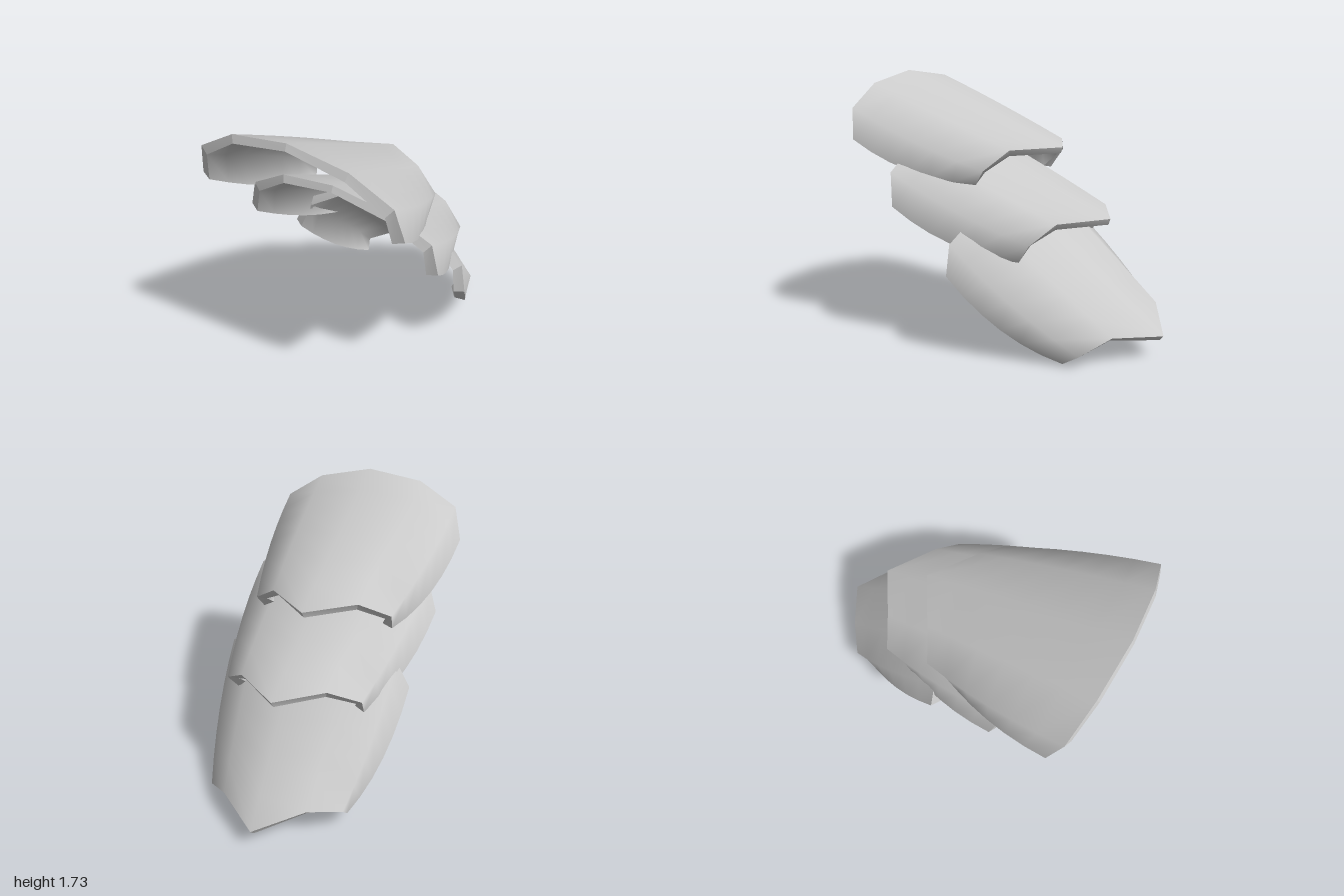
import * as THREE from 'three';
import { mergeGeometries } from 'three/addons/utils/BufferGeometryUtils.js';

const ROWS = 6;
// wall thickness across the arch, front edge to back edge
const THICK = [0.07, 0.065, 0.05, 0.042, 0.05, 0.065, 0.07];
// how far each line bows (y, z) halfway between the two ends
const BOW = [[-0.055, 0.03], [-0.01, 0.035], [0, 0.01], [0, 0], [0.005, -0.01], [0.01, -0.03], [-0.055, -0.035]];

// Each plate: arch at the inner end and arch at the outer end, from front to back
const PLATES = [
  {
    name: 'upperPlate',
    inner: [[-0.66, 1.28, 0.75], [-0.71, 1.48, 0.72], [-0.8, 1.64, 0.5], [-0.9, 1.73, 0.16], [-0.97, 1.7, -0.2], [-1, 1.57, -0.46], [-0.96, 1.37, -0.54]],
    outer: [[0.06, 1.02, 0.31], [0.13, 1.11, 0.31], [0.17, 1.23, 0.13], [0.3, 1.24, -0.2], [0.06, 1.27, -0.43], [-0.08, 1.18, -0.58], [-0.16, 1.05, -0.54]],
  },
  {
    name: 'middlePlate',
    inner: [[-0.3, 0.88, 0.69], [-0.34, 1.09, 0.67], [-0.43, 1.24, 0.45], [-0.54, 1.34, 0.1], [-0.61, 1.32, -0.25], [-0.63, 1.19, -0.51], [-0.6, 1, -0.6]],
    outer: [[0.4, 0.585, 0.255], [0.49, 0.7, 0.255], [0.54, 0.815, 0.08], [0.66, 0.825, -0.26], [0.42, 0.86, -0.48], [0.28, 0.78, -0.635], [0.2, 0.65, -0.6]],
  },
  {
    name: 'lowerPlate',
    inner: [[0.12, 0.5, 0.585], [0.115, 0.69, 0.555], [0.12, 0.87, 0.33], [0.04, 0.97, 0], [-0.06, 0.98, -0.36], [-0.13, 0.86, -0.6], [-0.17, 0.67, -0.69]],
    outer: [[0.67, 0.005, 0.145], [0.8, 0.085, 0.145], [0.88, 0.175, -0.05], [1, 0.145, -0.375], [0.76, 0.255, -0.6], [0.59, 0.215, -0.74], [0.5, 0.115, -0.71]],
  },
];

function surface(points, index) {
  const g = new THREE.BufferGeometry().setFromPoints(points);
  g.setIndex(index);
  g.computeVertexNormals();
  return g;
}

function plateGeometry({ inner, outer }) {
  const cols = inner.length;
  const at = (i, j) => i * cols + j;

  // outside skin, lofted between the two arches
  const top = [], faces = [];
  for (let i = 0; i <= ROWS; i++) {
    const t = i / ROWS, bow = 4 * t * (1 - t);
    for (let j = 0; j < cols; j++) {
      const p = new THREE.Vector3(...inner[j]).lerp(new THREE.Vector3(...outer[j]), t);
      p.y += BOW[j][0] * bow;
      p.z += BOW[j][1] * bow;
      top.push(p);
      if (i < ROWS && j < cols - 1) {
        const a = at(i, j), b = at(i + 1, j), c = at(i + 1, j + 1), d = at(i, j + 1);
        faces.push(a, b, c, a, c, d);
      }
    }
  }
  const skin = surface(top, faces);

  // inside skin, set back along the normals
  const normals = skin.attributes.normal;
  const under = top.map((p, k) => p.clone().addScaledVector(
    new THREE.Vector3().fromBufferAttribute(normals, k), -THICK[k % cols]));
  const lining = surface(under, [...faces].reverse());

  // rim around all four edges
  const loop = [];
  for (let i = 0; i < ROWS; i++) loop.push(at(i, 0));
  for (let j = 0; j < cols - 1; j++) loop.push(at(ROWS, j));
  for (let i = ROWS; i > 0; i--) loop.push(at(i, cols - 1));
  for (let j = cols - 1; j > 0; j--) loop.push(at(0, j));
  const rimPoints = [], rimFaces = [];
  loop.forEach((p, k) => {
    const q = loop[(k + 1) % loop.length], n = rimPoints.length;
    rimPoints.push(top[p], under[p], under[q], top[q]);
    rimFaces.push(n, n + 1, n + 2, n, n + 2, n + 3);
  });
  return mergeGeometries([skin, lining, surface(rimPoints, rimFaces)]);
}

export function createModel() {
  const group = new THREE.Group();
  group.name = 'shoulderArmour';
  const material = new THREE.MeshStandardMaterial({ color: 0xcccccc });
  for (const plate of PLATES) {
    const mesh = new THREE.Mesh(plateGeometry(plate), material);
    mesh.name = plate.name;
    group.add(mesh);
  }
  return group;
}
